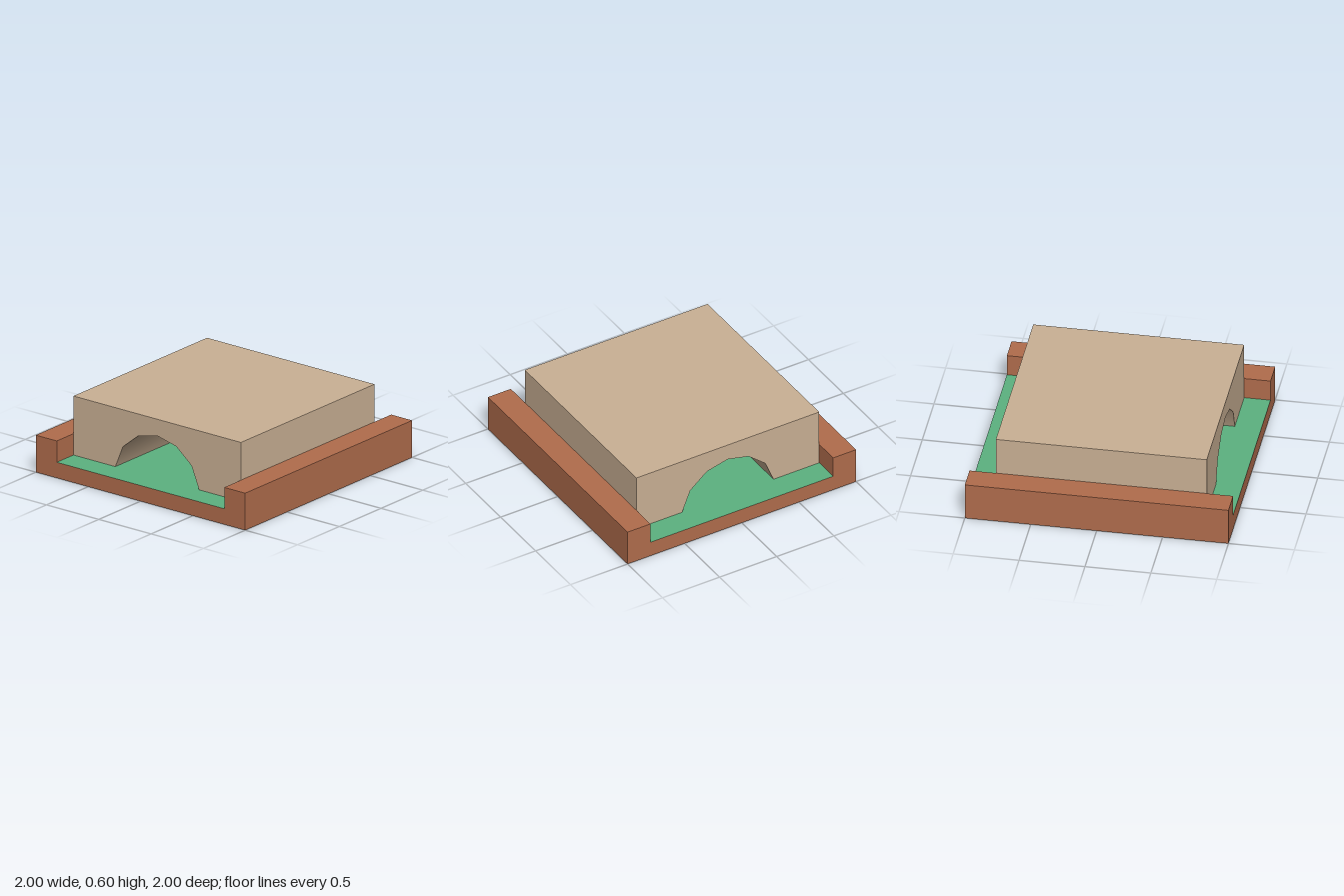
import * as THREE from 'three';
import { toCreasedNormals } from 'three/addons/utils/BufferGeometryUtils.js';

const FLOOR = 0.125, RAIL = 0.295, TOP = 0.595;

export function createModel() {
  const model = new THREE.Group();
  model.name = 'tunnelBlock';
  const material = (name, color) => {
    const m = new THREE.MeshStandardMaterial({ color });
    m.name = name;
    return m;
  };
  const brick = material('brick', 0xb06c4c);
  const stone = material('stone', 0xc9b094);
  const grass = material('grass', 0x5cb280);

  const add = (name, geometry, mat, x, y, z) => {
    const mesh = new THREE.Mesh(geometry, mat);
    mesh.name = name;
    mesh.position.set(x, y, z);
    model.add(mesh);
  };

  // Base slab: brick sides and underside, green top
  add('base', new THREE.BoxGeometry(1.6, FLOOR, 2),
    [brick, brick, grass, brick, brick, brick], 0, FLOOR / 2, 0);

  // Raised rails along both sides
  for (const [name, side] of [['leftRail', 1], ['rightRail', -1]]) {
    add(name, new THREE.BoxGeometry(0.2, RAIL, 2), brick, side * 0.9, RAIL / 2, 0);
  }

  // Block with an arched tunnel running front to back
  const arch = [[0.4, FLOOR], [0.328, 0.3], [0.182, 0.42], [0, 0.463],
    [-0.182, 0.42], [-0.328, 0.3], [-0.4, FLOOR]];
  const outline = [[-0.8, FLOOR], [-0.8, TOP], [0.8, TOP], [0.8, FLOOR], ...arch];
  const shape = new THREE.Shape(outline.map(([x, y]) => new THREE.Vector2(x, y)));
  const block = new THREE.ExtrudeGeometry(shape, { depth: 1.6, bevelEnabled: false });
  // Smooth only the shallow bends of the vault
  add('archedBlock', toCreasedNormals(block, 0.6), stone, 0, 0, -0.8);

  return model;
}
